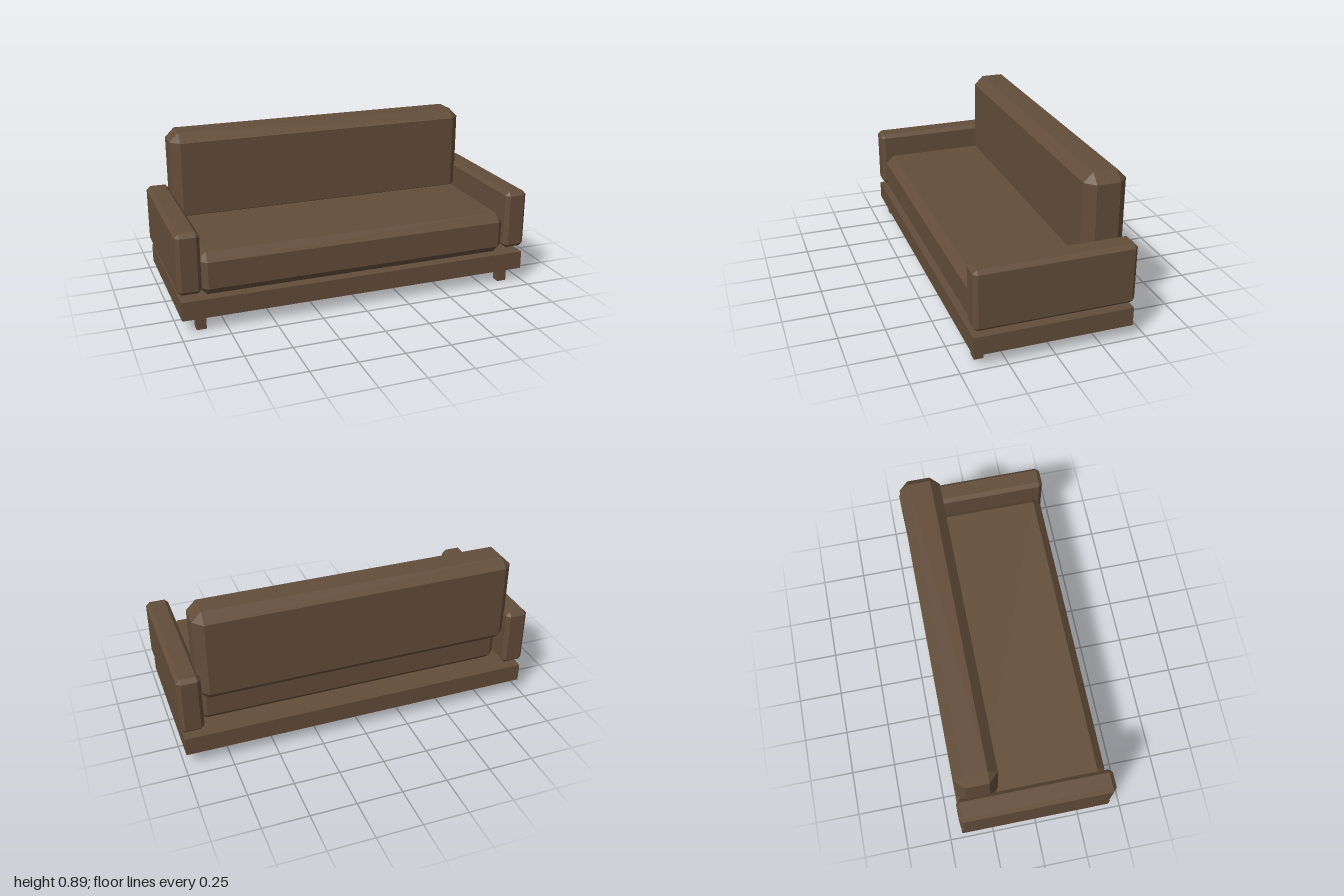
import * as THREE from 'three';
import { ConvexGeometry } from 'three/addons/geometries/ConvexGeometry.js';

// Box between two corners with every edge cut at 45 degrees
function chamferBox(min, max, c) {
  const half = min.map((m, i) => (max[i] - m) / 2);
  const mid = min.map((m, i) => (max[i] + m) / 2);
  const points = [];
  for (const sx of [-1, 1]) for (const sy of [-1, 1]) for (const sz of [-1, 1]) {
    const s = [sx, sy, sz];
    // each corner becomes three points, one on each adjoining face
    for (let face = 0; face < 3; face++) {
      points.push(new THREE.Vector3(...s.map((v, i) => v * (half[i] - (i === face ? 0 : c)))));
    }
  }
  return new ConvexGeometry(points).translate(...mid);
}

function plainBox(min, max) {
  return new THREE.BoxGeometry(...max.map((m, i) => m - min[i]))
    .translate(...max.map((m, i) => (m + min[i]) / 2));
}

export function createModel() {
  const model = new THREE.Group();
  model.name = 'sofa';
  const brown = new THREE.MeshStandardMaterial({ color: 0x634d3a });
  brown.name = 'brown';

  const add = (name, geometry) => {
    const mesh = new THREE.Mesh(geometry, brown);
    mesh.name = name;
    model.add(mesh);
  };

  // Flat base and cushions
  add('base', plainBox([-0.987, 0.075, -0.427], [0.987, 0.178, 0.427]));
  add('seatCushion', chamferBox([-0.883, 0.178, -0.325], [0.883, 0.414, 0.41], 0.045));
  add('backCushion', chamferBox([-0.883, 0.367, -0.415], [0.883, 0.886, -0.187], 0.051));

  // Arms on both sides, legs under the front corners only
  for (const [side, s] of [['left', 1], ['right', -1]]) {
    const span = (a, b) => (s > 0 ? [a, b] : [-b, -a]);
    const [armA, armB] = span(0.873, 1);
    add(side + 'Arm', chamferBox([armA, 0.21, -0.427], [armB, 0.543, 0.427], 0.021));
    const [legA, legB] = span(0.857, 0.91);
    add(side + 'FrontLeg', plainBox([legA, 0, 0.35], [legB, 0.075, 0.4]));
  }
  return model;
}
